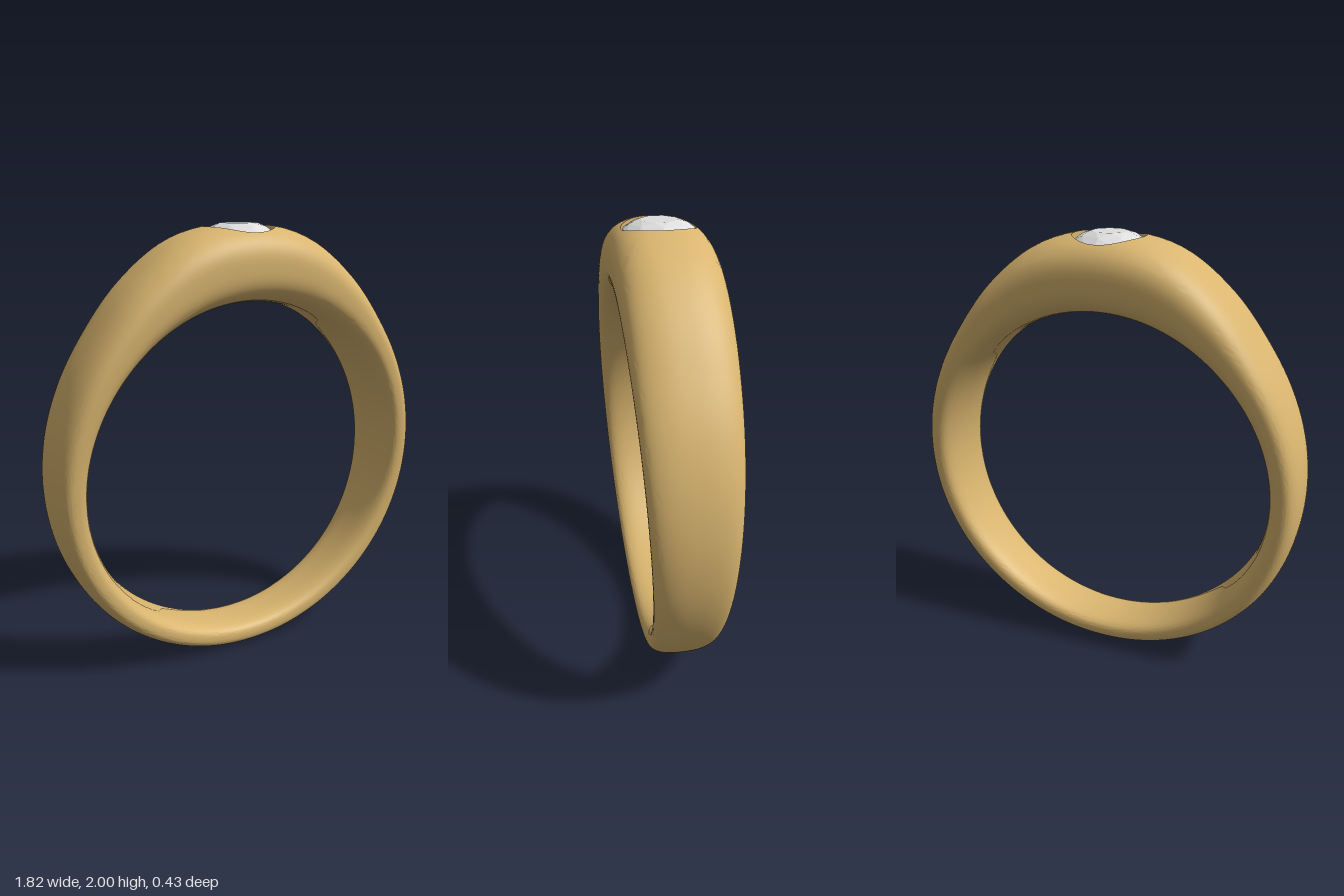
import * as THREE from 'three';
import { toCreasedNormals } from 'three/addons/utils/BufferGeometryUtils.js';
import { ConvexGeometry } from 'three/addons/geometries/ConvexGeometry.js';

const CENTER_Y = 0.897, INNER_R = 0.773;
const AROUND = 240, SECTION = 72;          // grid around the finger, grid around the cross-section
const HOLE_R = 0.158, HOLE = 8, BLEND = 12; // seat radius, and its size in grid cells
const FLOOR_Y = 1.82;

// Outer radius every 15 degrees, from the top down to the bottom
const outerCurve = new THREE.SplineCurve(
  [1.103, 1.09, 1.027, 0.965, 0.934, 0.918, 0.909, 0.905, 0.902, 0.899, 0.896, 0.894, 0.892]
    .map((r, i) => new THREE.Vector2(i, r)));

const outerR = (a) => outerCurve.getPoint(Math.min(1, Math.abs(a) / Math.PI)).y;
const halfWidth = (a) => 0.1715 + 0.0445 * Math.cos(a);
const power = (v, p) => Math.sign(v) * Math.abs(v) ** p;

// Band surface: a runs around the ring, phi around a rounded cross-section
function bandPoint(a, phi) {
  const n = Math.cos(phi) > 0 ? 2.5 : 3;
  const ro = outerR(a);
  const r = (ro + INNER_R) / 2 + (ro - INNER_R) / 2 * power(Math.cos(phi), 2 / n);
  const z = halfWidth(a) * power(Math.sin(phi), 2 / n);
  return new THREE.Vector3(r * Math.sin(a), CENTER_Y + r * Math.cos(a), z);
}

// Height of the outer surface near the top, above a given x and z
function topHeight(x, z) {
  let a = 0, r = 1;
  for (let k = 0; k < 15; k++) {
    const s = Math.min(1, Math.abs(z) / halfWidth(a));
    const ro = outerR(a);
    r = (ro + INNER_R) / 2 + (ro - INNER_R) / 2 * (1 - s ** 2.5) ** 0.4;
    a = Math.asin(x / r);
  }
  return CENTER_Y + r * Math.cos(a);
}

// Grid point, with the cells around the top drawn into a round stone seat
function gridPoint(i, j) {
  const at = (u, v) => bandPoint(u * 2 * Math.PI / AROUND, v * 2 * Math.PI / SECTION);
  const m = Math.max(Math.abs(i), Math.abs(j));
  if (m >= BLEND) return at(i, j);
  if (m === 0) return new THREE.Vector3(0, FLOOR_Y, 0);
  const border = at(i * BLEND / m, j * BLEND / m);
  const angle = Math.atan2(border.z, border.x);
  const rim = new THREE.Vector3(Math.cos(angle), 0, Math.sin(angle)).multiplyScalar(HOLE_R);
  if (m < HOLE) {
    rim.multiplyScalar(m / (HOLE - 1));
    rim.y = FLOOR_Y;
    return rim;
  }
  const p = rim.lerp(border, (m - HOLE) / (BLEND - HOLE));
  p.y = topHeight(p.x, p.z);
  return p;
}

function bandGeometry() {
  const positions = [], index = [];
  const id = (i, j) => (i % AROUND) * SECTION + (j % SECTION);
  for (let i = 0; i < AROUND; i++) {
    for (let j = 0; j < SECTION; j++) {
      positions.push(...gridPoint(i - AROUND / 2, j - SECTION / 2).toArray());
      const a = id(i, j), b = id(i, j + 1), c = id(i + 1, j + 1), d = id(i + 1, j);
      index.push(a, b, d, b, c, d);
    }
  }
  const geometry = new THREE.BufferGeometry();
  geometry.setAttribute('position', new THREE.Float32BufferAttribute(positions, 3));
  geometry.setIndex(index);
  return toCreasedNormals(geometry, 0.7);
}

// Faceted round stone: table, crown, girdle and pointed pavilion
function stoneGeometry() {
  const points = [new THREE.Vector3(0, 1.85, 0)];
  const ring = (count, r, y, turn) => {
    for (let k = 0; k < count; k++) {
      const a = (k + turn) * 2 * Math.PI / count;
      points.push(new THREE.Vector3(r * Math.cos(a), y, r * Math.sin(a)));
    }
  };
  ring(8, 0.08, 2.0, 0.5);
  ring(8, 0.122, 1.985, 0);
  ring(16, 0.152, 1.962, 0);
  ring(16, 0.152, 1.955, 0);
  return new ConvexGeometry(points);
}

export function createModel() {
  const gold = new THREE.MeshStandardMaterial({ color: 0xd9b56f });
  gold.name = 'gold';
  const crystal = new THREE.MeshStandardMaterial({ color: 0xdedede });
  crystal.name = 'crystal';

  const model = new THREE.Group();
  model.name = 'ring';
  const add = (name, geometry, material) => {
    const mesh = new THREE.Mesh(geometry, material);
    mesh.name = name;
    model.add(mesh);
  };
  add('band', bandGeometry(), gold);
  add('stone', stoneGeometry(), crystal);
  return model;
}
